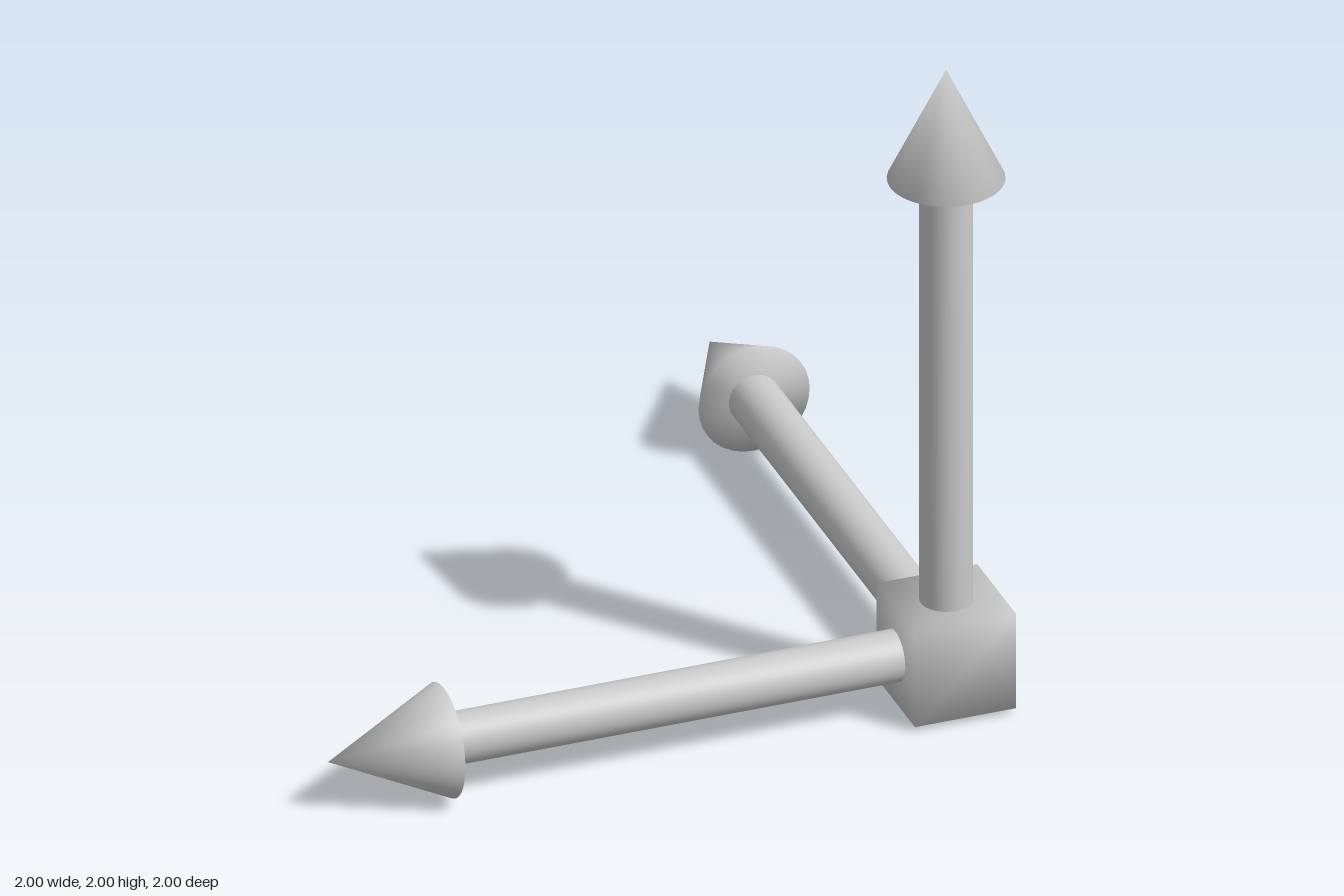
import * as THREE from 'three';
import { mergeVertices } from 'three/addons/utils/BufferGeometryUtils.js';

// Weld all corners so that shading runs smoothly over every edge
function soften(geometry) {
  geometry.deleteAttribute('normal');
  geometry.deleteAttribute('uv');
  const welded = mergeVertices(geometry, 1e-4);
  welded.computeVertexNormals();
  return welded;
}

export function createModel() {
  const model = new THREE.Group();
  model.name = 'axisArrows';
  const material = new THREE.MeshStandardMaterial({ color: 0xcccccc });

  const cubeSize = 0.3, shaftRadius = 0.075, headRadius = 0.165;
  const headStart = 1.49, tip = 1.835, sides = 32;

  function add(parent, name, geometry, y = 0) {
    const mesh = new THREE.Mesh(soften(geometry), material);
    mesh.name = name;
    mesh.position.y = y;
    parent.add(mesh);
  }

  // Cube where the three arrows meet
  add(model, 'originCube', new THREE.BoxGeometry(cubeSize, cubeSize, cubeSize));

  // One arrow along +y, turned to each direction
  const arrows = [
    ['upArrow', new THREE.Vector3(0, 1, 0)],
    ['rightArrow', new THREE.Vector3(-1, 0, 0)],
    ['backArrow', new THREE.Vector3(0, 0, -1)],
  ];
  for (const [name, direction] of arrows) {
    const arrow = new THREE.Group();
    arrow.name = name;
    add(arrow, 'shaft', new THREE.CylinderGeometry(shaftRadius, shaftRadius, headStart, sides), headStart / 2);
    add(arrow, 'head', new THREE.ConeGeometry(headRadius, tip - headStart, sides), (headStart + tip) / 2);
    arrow.quaternion.setFromUnitVectors(new THREE.Vector3(0, 1, 0), direction);
    model.add(arrow);
  }

  model.position.set(0.835, 0.165, 0.835);
  const root = new THREE.Group();
  root.name = 'model';
  root.add(model);
  return root;
}
